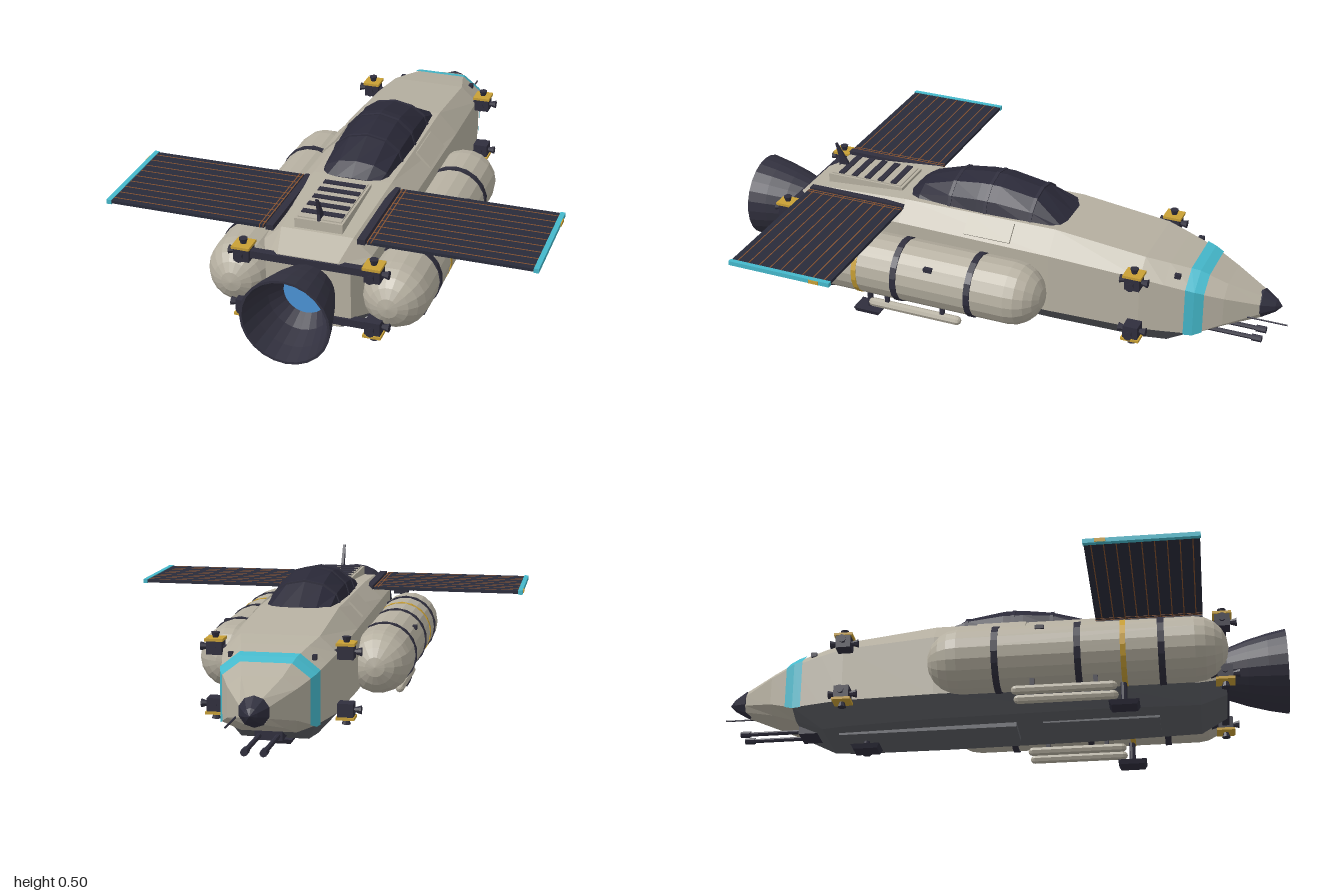
import * as THREE from 'three';

const mat = (name, color, extra = {}) => Object.assign(new THREE.MeshStandardMaterial({ color, flatShading: true, ...extra }), { name });

export function createModel() {
  const root = new THREE.Group();
  root.name = 'spaceship';
  const M = {
    hull: mat('hull beige', 0xb6b0a1),
    belly: mat('belly grey', 0x5c5e64),
    dark: mat('dark metal', 0x2f2e3d),
    glass: mat('canopy glass', 0x2a2938),
    cyan: mat('cyan trim', 0x45b9cc),
    yellow: mat('yellow', 0xc9a035),
    blue: mat('engine glow', 0x4b93d6),
    cell: mat('solar cell', 0x292b3a),
    copper: mat('copper line', 0x8a5430),
    nozzle: mat('nozzle metal', 0x32313f, { side: THREE.DoubleSide }),
  };
  const add = (name, geo, m, x = 0, y = 0, z = 0, parent = root) => {
    const o = new THREE.Mesh(geo, m);
    o.name = name;
    o.position.set(x, y, z);
    parent.add(o);
    return o;
  };
  const box = (name, w, h, d, m, x, y, z, parent) => add(name, new THREE.BoxGeometry(w, h, d), m, x, y, z, parent);
  // cylinder lying along z, r0 at the +z end
  const rod = (name, r0, r1, len, n, m, x, y, z, parent) =>
    add(name, new THREE.CylinderGeometry(r0, r1, len, n).rotateX(Math.PI / 2), m, x, y, z, parent);

  // Skin over rings of [x, y, z], anticlockwise from +z; keep(k) picks the facets
  const loft = (rings, keep = () => true, caps = true) => {
    const p = [], n = rings[0].length;
    const tri = (...v) => v.forEach((q) => p.push(...q));
    for (let i = 0; i + 1 < rings.length; i++) for (let k = 0; k < n; k++) {
      if (!keep(k)) continue;
      const j = (k + 1) % n, [a, b] = [rings[i], rings[i + 1]];
      tri(a[k], a[j], b[j]);
      tri(a[k], b[j], b[k]);
    }
    if (caps) for (let k = 1; k + 1 < n; k++) {
      const a = rings[0], b = rings[rings.length - 1];
      tri(a[0], a[k + 1], a[k]);
      tri(b[0], b[k], b[k + 1]);
    }
    const g = new THREE.BufferGeometry();
    g.setAttribute('position', new THREE.Float32BufferAttribute(p, 3));
    g.computeVertexNormals();
    return g;
  };

  // Hull stations: z, top half-width, top, half-width, shoulder, chine, bottom half-width, bottom
  const stations = [
    [-0.90, 0.025, 0.24, 0.045, 0.215, 0.18, 0.03, 0.16],
    [-0.79, 0.065, 0.285, 0.11, 0.25, 0.15, 0.07, 0.125],
    [-0.70, 0.085, 0.325, 0.15, 0.275, 0.115, 0.09, 0.09],
    [-0.60, 0.11, 0.347, 0.172, 0.295, 0.115, 0.11, 0.045],
    [-0.52, 0.13, 0.363, 0.188, 0.31, 0.115, 0.125, 0.045],
    [-0.20, 0.135, 0.40, 0.20, 0.33, 0.115, 0.14, 0.05],
    [0.36, 0.135, 0.40, 0.20, 0.34, 0.115, 0.14, 0.055],
    [0.70, 0.12, 0.375, 0.18, 0.32, 0.115, 0.125, 0.057],
    [0.79, 0.10, 0.33, 0.14, 0.30, 0.14, 0.10, 0.10],
  ];
  const ring = ([z, tw, t, w, s, c, bw, b], e = 0) => [
    [tw + e, t + e, z], [-tw - e, t + e, z], [-w - e, s + e, z], [-w - e, c - e, z],
    [-bw - e, b - e, z], [bw + e, b - e, z], [w + e, c - e, z], [w + e, s + e, z],
  ];
  const at = (z) => {
    const i = Math.max(1, stations.findIndex((s) => s[0] >= z));
    const [a, b] = [stations[i - 1], stations[i]];
    return a.map((v, k) => v + (b[k] - v) * (z - a[0]) / (b[0] - a[0]));
  };
  const isBelly = (k) => k >= 3 && k <= 5;
  const body = stations.slice(2).map((s) => ring(s));
  add('noseHull', loft(stations.slice(0, 3).map((s) => ring(s))), M.hull);
  add('upperHull', loft(body, (k) => !isBelly(k)), M.hull);
  add('bellyHull', loft(body, isBelly, false), M.belly);
  add('noseBand', loft([-0.73, -0.70, -0.67].map((z) => ring(at(z), 0.004)), (k) => !isBelly(k), false), M.cyan);
  box('keelPlate', 0.14, 0.03, 0.62, M.belly, 0, 0.052, -0.24);
  box('rearBellyPlate', 0.12, 0.012, 0.4, M.belly, 0, 0.054, 0.36);

  // Nose tip, probe and twin barrels
  add('noseTip', new THREE.LatheGeometry([[0, 0.075], [0.022, 0.055], [0.05, 0.01], [0.046, 0], [0, 0]]
    .reverse().map(([x, y]) => new THREE.Vector2(x, y)), 10).rotateX(-Math.PI / 2), M.dark, 0, 0.2, -0.89);
  rod('noseProbe', 0.003, 0.003, 0.16, 6, M.dark, 0.065, 0.172, -0.92);
  box('gunMount', 0.09, 0.04, 0.07, M.dark, 0, 0.08, -0.665);
  for (const x of [-0.03, 0.03]) {
    rod('gunBarrel', 0.008, 0.008, 0.22, 8, M.dark, x, 0.074, -0.79);
    rod('gunMuzzle', 0.012, 0.012, 0.035, 8, M.dark, x, 0.074, -0.893);
  }

  // Faceted canopy with arches
  const canopyStations = [[-0.215, 0.12, 0.4], [-0.1, 0.125, 0.473], [0.03, 0.13, 0.498], [0.1, 0.13, 0.497],
    [0.2, 0.127, 0.482], [0.32, 0.122, 0.44], [0.37, 0.105, 0.402]];
  const arch = ([z, w, t], e = 0) => Array.from({ length: 7 }, (_, i) => {
    const a = i * Math.PI / 6;
    return [(w + e) * Math.cos(a), 0.385 + (t + e - 0.385) * Math.sin(a), z];
  });
  add('canopy', loft(canopyStations.map((s) => arch(s))), M.glass);
  for (const [z, w, t] of [[-0.1, 0.125, 0.473], [0.065, 0.13, 0.4975], [0.2, 0.127, 0.482]])
    add('canopyArch', loft([arch([z - 0.006, w, t], 0.003), arch([z + 0.006, w, t], 0.003)]), M.dark);

  // Radiator grille and tail fin
  box('radiatorBase', 0.16, 0.04, 0.29, M.hull, 0, 0.388, 0.545);
  box('radiatorBed', 0.145, 0.006, 0.27, M.hull, 0, 0.409, 0.545);
  for (let i = 0; i < 5; i++) box('radiatorSlat', 0.14, 0.008, 0.022, M.dark, 0, 0.412, 0.44 + i * 0.051);
  const fin = new THREE.Shape([[-0.645, 0.4], [-0.655, 0.425], [-0.695, 0.49], [-0.7, 0.49], [-0.685, 0.43], [-0.69, 0.4]]
    .map(([x, y]) => new THREE.Vector2(x, y)));
  add('tailFin', new THREE.ExtrudeGeometry(fin, { depth: 0.01, bevelEnabled: false }).rotateY(Math.PI / 2), M.dark, -0.005);

  // Main engine
  add('engineNozzle', new THREE.LatheGeometry([[0.075, 0], [0.09, 0.02], [0.115, 0.09], [0.134, 0.16], [0.147, 0.225], [0.139, 0.225], [0.125, 0.16], [0.105, 0.09], [0.07, 0.035]]
    .map(([x, y]) => new THREE.Vector2(x, y)), 24).rotateX(Math.PI / 2), M.nozzle, 0, 0.222, 0.775);
  add('engineGlow', new THREE.CircleGeometry(0.074, 24), M.blue, 0, 0.222, 0.815);

  // Manoeuvring thruster block; v is +1 for upper, -1 for lower
  const thruster = (s, v, z) => {
    const g = new THREE.Group();
    g.name = 'thrusterBlock';
    g.position.set(s * 0.215, v > 0 ? 0.315 : 0.125, z);
    box('thrusterCore', 0.052, 0.046, 0.052, M.dark, 0, 0, 0, g);
    box('thrusterCap', 0.06, 0.009, 0.064, M.yellow, 0, v * 0.026, 0, g);
    const cone = (rx, rz, x, y, dz) => {
      const c = add('thrusterNozzle', new THREE.CylinderGeometry(0.015, 0.007, 0.025, 8), M.dark, x, y, dz, g);
      c.rotation.set(rx, 0, rz);
    };
    cone(v > 0 ? 0 : Math.PI, 0, 0, v * 0.036, 0);
    cone(0, -s * Math.PI / 2, s * 0.037, 0, 0);
    cone(Math.PI / 2, 0, 0, 0, 0.036);
    cone(-Math.PI / 2, 0, 0, 0, -0.036);
    root.add(g);
  };
  for (const y of [0.315, 0.125]) box('rearThrusterBoom', 0.4, 0.025, 0.025, M.dark, 0, y, 0.785);

  // Landing foot: splayed pad on a strut
  const foot = (x, z, top) => {
    const pad = add('footPad', new THREE.CylinderGeometry(0.053, 0.044, 0.016, 4, 1).rotateY(Math.PI / 4).scale(1, 1, 1.35), M.dark, x, 0.008, z);
    pad.updateMatrix();
    add('footStrut', new THREE.CylinderGeometry(0.011, 0.011, top, 8), M.dark, x, top / 2 + 0.005, z);
  };
  foot(0, -0.465, 0.05);

  for (const s of [-1, 1]) {
    // Side tank with straps
    const tx = s * 0.26;
    add('sideTank', new THREE.CapsuleGeometry(0.11, 0.79, 5, 18).rotateX(Math.PI / 2), M.hull, tx, 0.2, 0.295);
    for (const z of [0.03, 0.305, 0.58]) rod('tankStrap', 0.114, 0.114, 0.022, 18, M.dark, tx, 0.2, z);
    rod('tankStripe', 0.112, 0.112, 0.018, 18, M.yellow, tx, 0.2, 0.455);
    box('tankValve', 0.016, 0.014, 0.03, M.dark, s * 0.346, 0.27, 0.18);
    for (const z of [0.03, 0.58]) box('tankMount', 0.08, 0.04, 0.05, M.dark, s * 0.19, 0.22, z);

    // Slim bottles under the tank
    for (const x of [0.23, 0.305]) {
      add('slimBottle', new THREE.CapsuleGeometry(0.016, 0.32, 3, 8).rotateX(Math.PI / 2), M.hull, s * x, 0.064, 0.255);
      for (const z of [0.15, 0.36]) box('bottleClamp', 0.012, 0.04, 0.015, M.dark, s * x, 0.09, z);
    }
    foot(tx, 0.45, 0.1);

    // Solar wing with copper grid on both faces
    const wing = new THREE.Group();
    wing.name = 'solarWing';
    wing.position.set(s * 0.435, 0.378, 0.54);
    root.add(wing);
    box('solarPanel', 0.53, 0.01, 0.365, M.cell, 0, 0, 0, wing);
    for (let i = 0; i < 9; i++) box('solarRow', 0.53, 0.0115, 0.0035, M.copper, 0, 0, -0.16 + i * 0.04, wing);
    for (const x of [-0.262, -0.25]) box('solarBus', 0.0035, 0.0118, 0.365, M.copper, s * x, 0, 0, wing);
    box('wingTip', 0.016, 0.015, 0.37, M.cyan, s * 0.272, 0, 0, wing);
    box('wingTipLamp', 0.01, 0.012, 0.035, M.yellow, s * 0.278, 0, -0.13, wing);
    box('wingHinge', 0.025, 0.018, 0.365, M.dark, -s * 0.283, 0, 0, wing);
    box('wingArm', 0.08, 0.02, 0.05, M.dark, -s * 0.31, -0.012, 0, wing);

    // Thrusters, sensors and shoulder panels
    for (const v of [-1, 1]) {
      thruster(s, v, 0.785);
      thruster(s, v, -0.51);
      box('frontThrusterArm', 0.05, 0.02, 0.02, M.dark, s * 0.19, v > 0 ? 0.31 : 0.13, -0.51);
    }
    box('noseSensor', 0.014, 0.016, 0.02, M.dark, s * 0.135, 0.318, -0.635);
    const panel = box('shoulderPanel', 0.07, 0.008, 0.17, M.hull, s * 0.169, 0.37, 0.03);
    panel.rotation.z = -s * 0.8;
  }
  return root;
}
